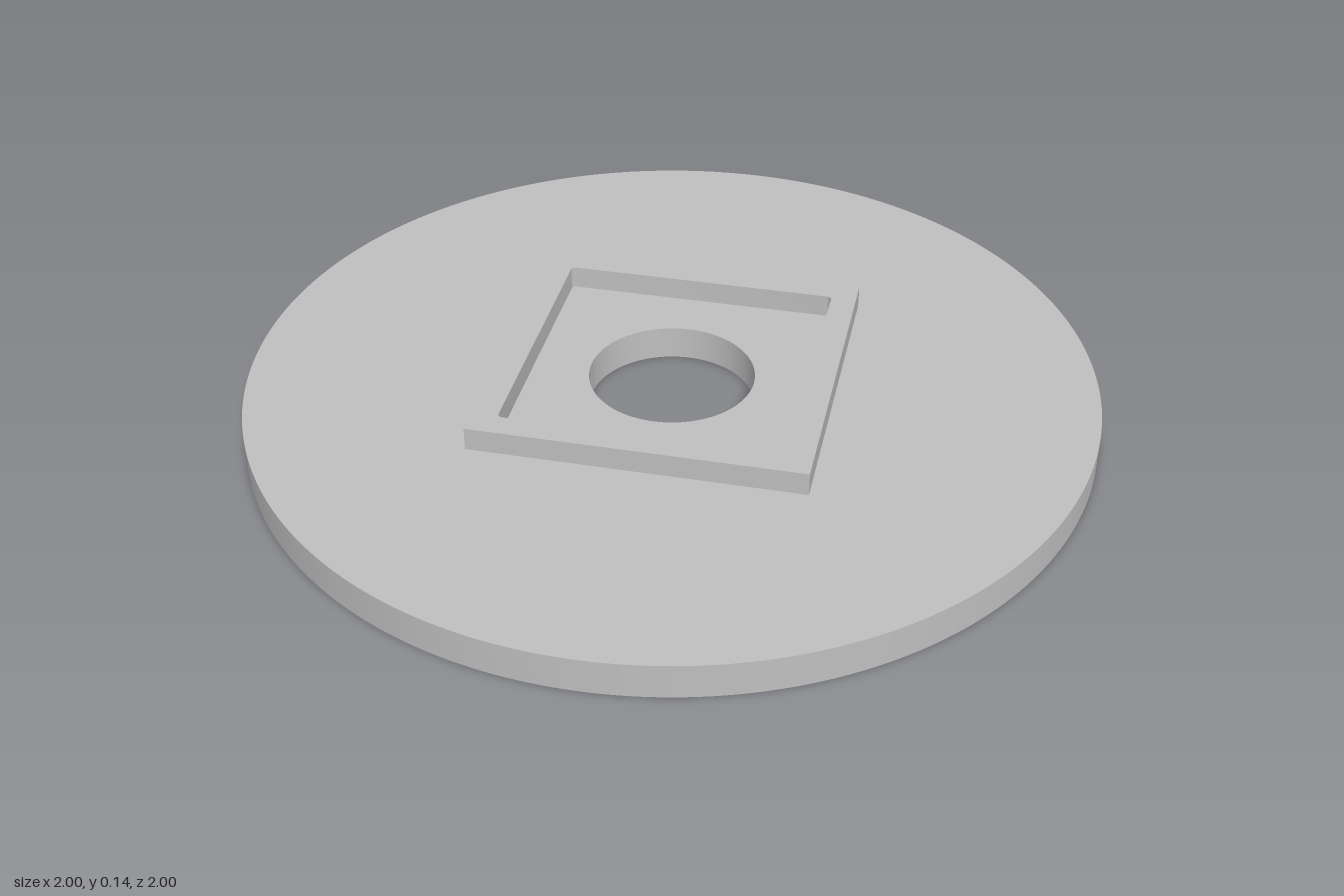
import * as THREE from 'three';
import { toCreasedNormals } from 'three/addons/utils/BufferGeometryUtils.js';

const DISC_TOP = 0.083;
const FRAME_TOP = 0.139;

// Square outline, with optional rounded corners
function square(path, half, radius = 0) {
  const corners = [[1, -1], [1, 1], [-1, 1], [-1, -1]];
  corners.forEach(([sx, sy], i) => {
    if (radius > 0) {
      const start = (i - 1) * Math.PI / 2;
      path.absarc(sx * (half - radius), sy * (half - radius), radius, start, start + Math.PI / 2, false);
    } else if (i === 0) path.moveTo(sx * half, sy * half);
    else path.lineTo(sx * half, sy * half);
  });
  path.closePath();
  return path;
}

// Upright slab from a flat outline, standing between two heights
function slab(name, shape, bottom, top, curveSegments, material) {
  const solid = new THREE.ExtrudeGeometry(shape, { depth: top - bottom, bevelEnabled: false, curveSegments });
  solid.rotateX(-Math.PI / 2);
  solid.translate(0, bottom, 0);
  const mesh = new THREE.Mesh(toCreasedNormals(solid, Math.PI / 6), material);
  mesh.name = name;
  return mesh;
}

export function createModel() {
  const group = new THREE.Group();
  group.name = 'discWithSquareSocket';
  const grey = new THREE.MeshStandardMaterial({ color: 0xbfbfbf });
  grey.name = 'plain grey';

  // Round base with a central bore
  const disc = new THREE.Shape().absarc(0, 0, 1, 0, Math.PI * 2, false);
  disc.holes.push(new THREE.Path().absarc(0, 0, 0.196, 0, Math.PI * 2, true));
  group.add(slab('baseDisc', disc, 0, DISC_TOP, 128, grey));

  // Raised square rim with slightly rounded inner corners
  const rim = square(new THREE.Shape(), 0.389);
  rim.holes.push(square(new THREE.Path(), 0.329, 0.012));
  group.add(slab('squareRim', rim, DISC_TOP, FRAME_TOP, 6, grey));

  return group;
}
